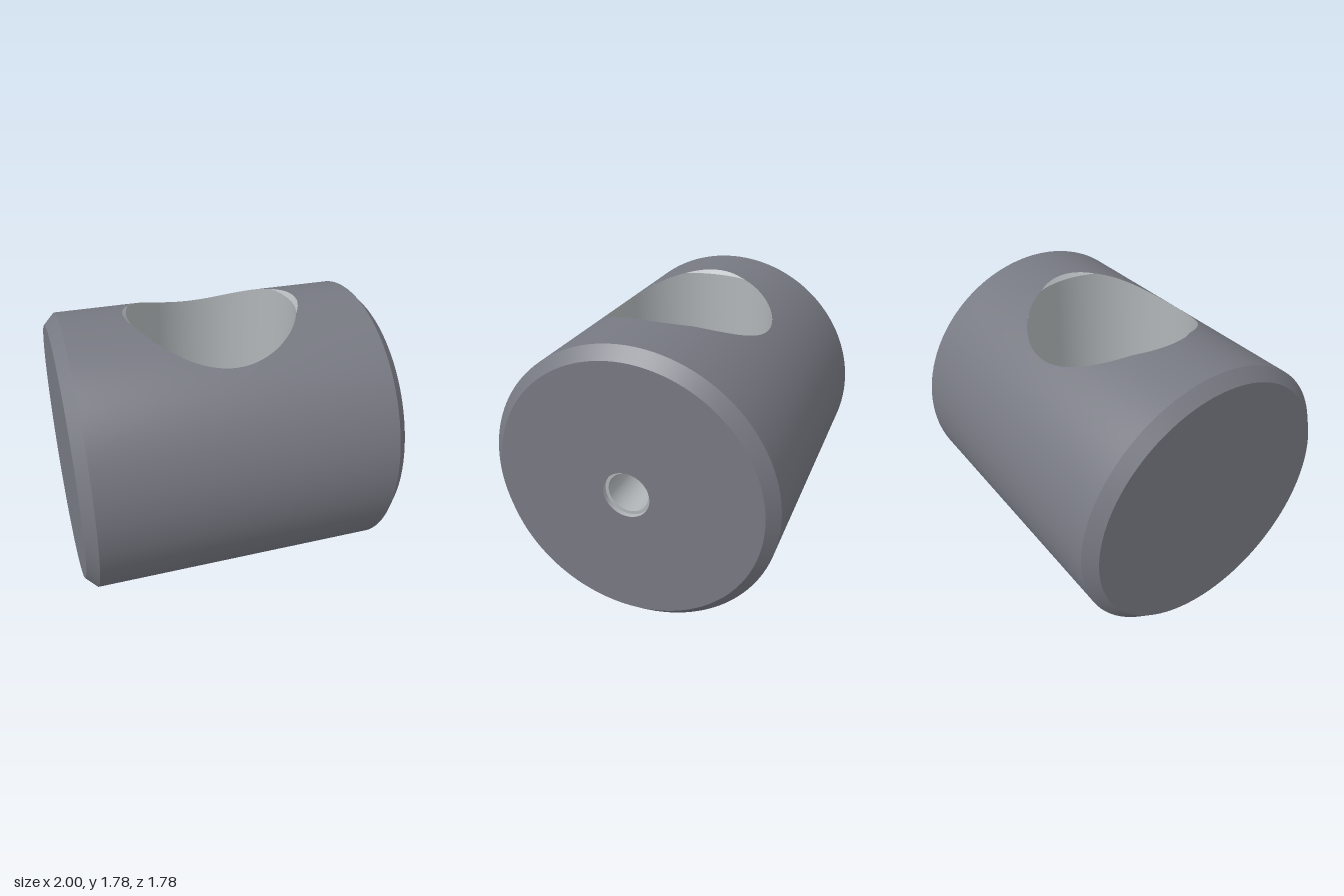
import * as THREE from 'three';
import { ParametricGeometry } from 'three/addons/geometries/ParametricGeometry.js';

const R = 0.89;        // body radius
const BORE = 0.525;    // cross bore radius
const SINK = 0.865;    // height at which the bore's bevel starts
const SCREW = 0.125;   // end hole radius
const BAND = 0.6;      // half height of the bore wall's middle band
const TAU = Math.PI * 2;
const mix = THREE.MathUtils.lerp;

export function createModel() {
  const dark = new THREE.MeshStandardMaterial({ color: 0x777982 });   // outer skin
  const bright = new THREE.MeshStandardMaterial({ color: 0xb0b5b8 }); // machined holes
  const model = new THREE.Group();
  model.name = 'crossDrilledCylinder';
  model.position.y = R;

  function surface(name, material, fn, cols, rows, parent = model) {
    const geometry = new ParametricGeometry((u, v, p) => p.set(...fn(u, v)), cols, rows);
    const mesh = new THREE.Mesh(geometry, material);
    mesh.name = name;
    parent.add(mesh);
  }

  // Surface of revolution about x between two (x, radius) points
  function ring(name, material, [x0, r0], [x1, r1]) {
    surface(name, material, (u, v) => {
      const a = TAU * u, r = mix(r0, r1, v);
      return [mix(x0, x1, v), r * Math.cos(a), r * Math.sin(a)];
    }, 128, 1);
  }

  // Rectangular patch (half sizes w, h) with an opening, bent into shape by place()
  function openPatch(name, material, w, h, rim, place, cols, rows, parent) {
    const c = Math.atan2(h, w);
    const angles = [-c, c, Math.PI - c, Math.PI + c, TAU - c];
    const corners = [[w, -h], [w, h], [-w, h], [-w, -h], [w, -h]];
    surface(name, material, (u, v) => {
      const k = Math.min(3, Math.floor(u * 4)), f = u * 4 - k;
      const [s, t] = rim(mix(angles[k], angles[k + 1], f));
      const [p, q] = [0, 1].map((i) => mix(corners[k][i], corners[k + 1][i], f));
      return place(mix(s, p, v), mix(t, q, v));
    }, cols, rows, parent);
  }

  // Where the bevelled bore meets the round body: radius and height
  function boreRim(a) {
    let r = BORE, y = 0;
    for (let i = 0; i < 12; i++) {
      y = Math.sqrt(R * R - (r * Math.sin(a)) ** 2);
      r = BORE + Math.max(0, y - SINK);
    }
    return [r, y];
  }

  // Ends and their bevels
  ring('leftEndBevel', dark, [0.93, R], [1, 0.82]);
  ring('leftEndFace', dark, [1, 0.82], [1, 0.145]);
  ring('rightEndFace', dark, [-1, 0], [-1, 0.82]);
  ring('rightEndBevel', dark, [-1, 0.82], [-0.93, R]);

  // Small stepped hole from the left end into the cross bore
  ring('screwHoleRecess', bright, [1, 0.145], [0.97, 0.145]);
  ring('screwHoleStep', bright, [0.97, 0.145], [0.97, SCREW]);
  surface('screwHoleWall', bright, (u, v) => {
    const a = TAU * u, z = SCREW * Math.sin(a);
    return [mix(0.97, Math.sqrt(BORE * BORE - z * z), v), SCREW * Math.cos(a), z];
  }, 128, 1);

  // Upper and lower halves of the body with the bore opening
  for (const half of ['upper', 'lower']) {
    const group = new THREE.Group();
    group.name = half + 'Half';
    if (half === 'lower') group.rotation.x = Math.PI;
    model.add(group);

    openPatch('bodyShell', dark, 0.93, Math.PI / 2, (a) => {
      const [r] = boreRim(a);
      return [r * Math.cos(a), Math.asin(r * Math.sin(a) / R)];
    }, (x, t) => [x, R * Math.cos(t), R * Math.sin(t)], 256, 28, group);

    surface('boreWall', bright, (u, v) => {
      const a = TAU * u, y = Math.min(SINK, boreRim(a)[1]);
      return [BORE * Math.cos(a), mix(BAND, y, v), BORE * Math.sin(a)];
    }, 160, 1, group);

    surface('boreBevel', bright, (u, v) => {
      const a = TAU * u, [rimR, rimY] = boreRim(a);
      const r = mix(BORE, rimR, v);
      return [r * Math.cos(a), mix(Math.min(SINK, rimY), rimY, v), r * Math.sin(a)];
    }, 160, 1, group);
  }

  // Middle of the bore: plain side, and the side the small hole breaks through
  surface('borePlainSide', bright, (u, v) => {
    const a = Math.PI * (0.5 + u);
    return [BORE * Math.cos(a), mix(-BAND, BAND, v), BORE * Math.sin(a)];
  }, 80, 1);
  openPatch('boreDrilledSide', bright, Math.PI / 2, BAND,
    (a) => [Math.asin(SCREW * Math.cos(a) / BORE), SCREW * Math.sin(a)],
    (t, y) => [BORE * Math.cos(t), y, -BORE * Math.sin(t)], 320, 24);

  return model;
}
